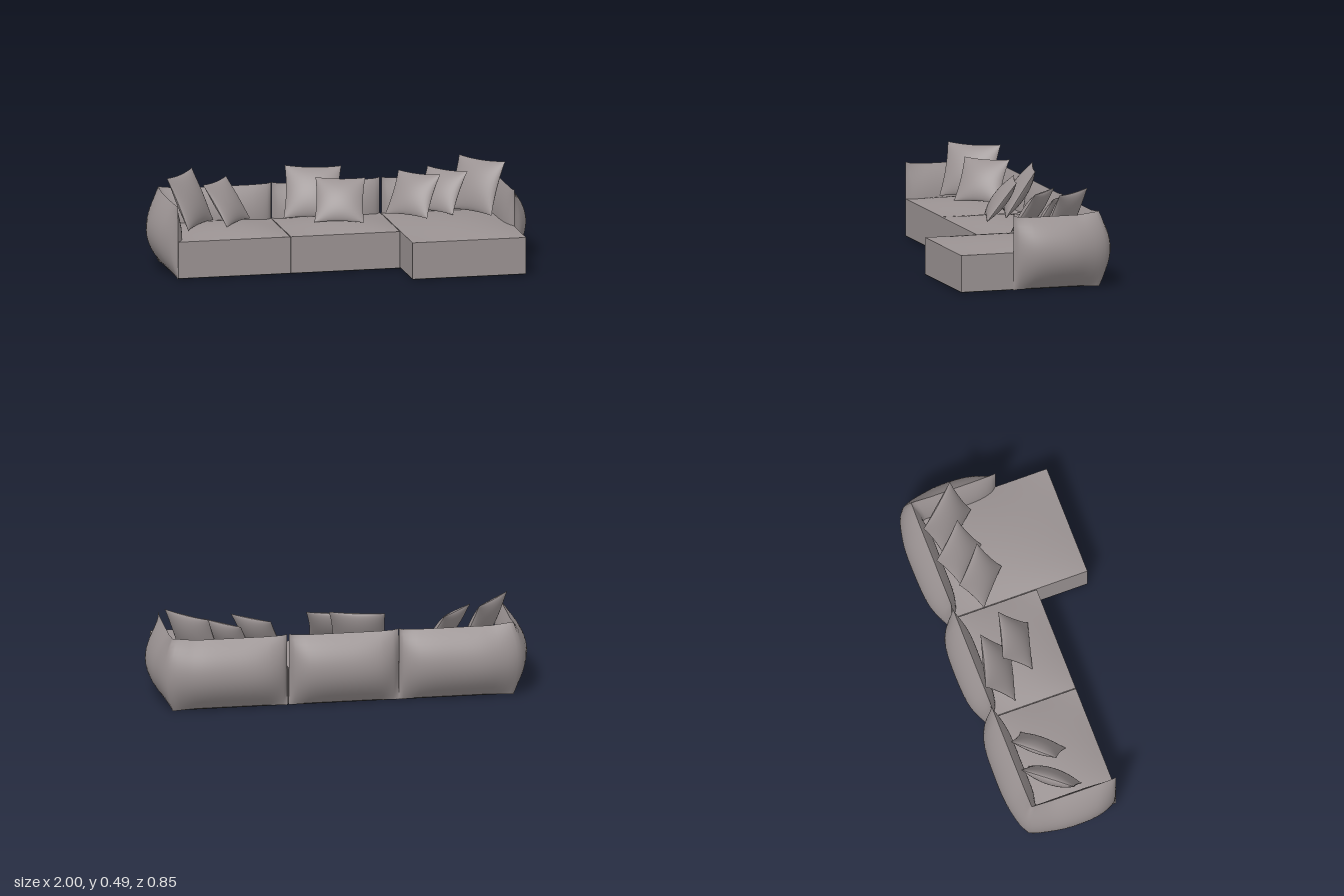
import * as THREE from 'three';

const fabric = new THREE.MeshStandardMaterial({ color: 0x9a9292, side: THREE.DoubleSide });
fabric.name = 'warm grey fabric';
const lining = new THREE.MeshStandardMaterial({ color: 0x303030 });
lining.name = 'dark underside lining';

// Grid surface from a rule p(u, v) with u and v in 0..1
function surface(p, nu, nv) {
  const pos = [], idx = [];
  for (let j = 0; j <= nv; j++)
    for (let i = 0; i <= nu; i++) pos.push(...p(i / nu, j / nv));
  for (let j = 0; j < nv; j++)
    for (let i = 0; i < nu; i++) {
      const a = j * (nu + 1) + i, b = a + 1, c = a + nu + 1, d = c + 1;
      idx.push(a, b, d, a, d, c);
    }
  const g = new THREE.BufferGeometry();
  g.setAttribute('position', new THREE.Float32BufferAttribute(pos, 3));
  g.setIndex(idx);
  g.computeVertexNormals();
  return g;
}

function addMesh(parent, geometry, material, name) {
  const m = new THREE.Mesh(geometry, material);
  m.name = name;
  parent.add(m);
  return m;
}

// Padded wall: rows of [baseX, baseZ, outerX, outerZ, innerX, innerZ, cornerLift]
function paddedWall(rows, side, name) {
  const group = new THREE.Group();
  group.name = name;
  const n = rows.length - 1;
  [[2, 'OuterFace'], [4, 'InnerFace']].forEach(([k, label]) => {
    const curve = new THREE.CatmullRomCurve3(rows.map(r => new THREE.Vector3(r[k], 0, r[k + 1])));
    const rule = (u, v) => {
      const i = Math.min(Math.floor(u * n + 1e-6), n - 1), f = u * n - i;
      const mix = c => rows[i][c] * (1 - f) + rows[i + 1][c] * f;
      const o = curve.getPoint(u), w = 1 - (2 * v - 1) ** 2;
      const bx = mix(0), bz = mix(1), lift = mix(6);
      const bottom = 0.008 * (1 - lift), top = 0.383 + 0.014 * lift;
      return [side * (bx + (o.x - bx) * w), bottom + (top - bottom) * v, bz + (o.z - bz) * w];
    };
    // keep the outward side in front on both mirrored walls
    const flip = (k === 2) === (side > 0);
    addMesh(group, surface((u, v) => rule(flip ? 1 - u : u, v), n * 5, 16), fabric, name + label);
  });
  return group;
}

// Seat block with a softly crowned top, and its lining
function seat(x0, x1, z0, z1, name) {
  const group = new THREE.Group();
  group.name = name;
  const w = x1 - x0, d = z1 - z0, h = 0.192;
  const g = new THREE.BoxGeometry(w, h, d, 16, 1, 16);
  const p = g.attributes.position;
  for (let i = 0; i < p.count; i++) {
    if (p.getY(i) < 0) continue;
    const u = p.getX(i) / w * 2, v = p.getZ(i) / d * 2;
    p.setY(i, h / 2 + 0.034 * (1 - u * u) * (1 - v * v));
  }
  g.computeVertexNormals();
  addMesh(group, g, fabric, name + 'Cushion').position.set((x0 + x1) / 2, 0.008 + h / 2, (z0 + z1) / 2);
  addMesh(group, new THREE.BoxGeometry(w, 0.004, d), lining, name + 'Lining')
    .position.set((x0 + x1) / 2, 0.006, (z0 + z1) / 2);
  return group;
}

// Square pillow with thin edges and pointed corners
function pillow(size, thickness) {
  const group = new THREE.Group(), r = size / 2;
  for (const s of [1, -1]) {
    const g = surface((a, b) => {
      // sine spacing keeps the thin rim smooth
      const u = Math.sin((a - 0.5) * Math.PI) * s, v = Math.sin((b - 0.5) * Math.PI);
      const x = r * u * (1 - 0.07 * (1 - v * v)), y = r * v * (1 - 0.07 * (1 - u * u));
      return [x, y, s * thickness / 2 * Math.pow(Math.max(0, (1 - u * u) * (1 - v * v)), 0.6)];
    }, 18, 18);
    addMesh(group, g, fabric, s > 0 ? 'pillowFront' : 'pillowBack');
  }
  return group;
}

export function createModel() {
  const model = new THREE.Group();
  model.name = 'sectionalSofa';

  // Seats, the left one extended as a chaise
  model.add(seat(-0.897, -0.299, -0.33, 0.14, 'rightSeat'));
  model.add(seat(-0.295, 0.287, -0.33, 0.14, 'middleSeat'));
  model.add(seat(0.291, 0.897, -0.33, 0.424, 'chaiseSeat'));

  // Back and arm in one wrapped corner wall, mirrored
  const corner = [
    [0.295, -0.33, 0.295, -0.33, 0.295, -0.33, 0.6],
    [0.32, -0.33, 0.315, -0.37, 0.32, -0.30, 0.2],
    [0.40, -0.33, 0.40, -0.412, 0.40, -0.275, 0],
    [0.60, -0.33, 0.60, -0.428, 0.60, -0.27, 0],
    [0.78, -0.33, 0.80, -0.418, 0.76, -0.27, 0],
    [0.90, -0.33, 0.935, -0.37, 0.85, -0.28, 1],
    [0.90, -0.22, 0.987, -0.23, 0.85, -0.20, 0],
    [0.90, -0.10, 1.0, -0.10, 0.85, -0.10, 0],
    [0.90, 0.04, 0.985, 0.03, 0.855, 0.04, 0],
    [0.90, 0.11, 0.94, 0.115, 0.875, 0.11, 0.3],
    [0.90, 0.14, 0.90, 0.14, 0.90, 0.14, 0.9],
  ];
  model.add(paddedWall(corner, 1, 'leftBackAndArm'));
  model.add(paddedWall(corner, -1, 'rightBackAndArm'));

  // Middle back
  const middle = [
    [-1, 0, 0, 0.6], [-0.9, 0.042, 0.03, 0.2], [-0.65, 0.08, 0.055, 0], [0, 0.095, 0.06, 0],
    [0.65, 0.08, 0.055, 0], [0.9, 0.042, 0.03, 0.2], [1, 0, 0, 0.6],
  ].map(([t, o, i, lift]) => {
    const x = -0.004 + 0.289 * t;
    return [x, -0.33, x, -0.33 - o, x, -0.33 + i, lift];
  });
  model.add(paddedWall(middle, 1, 'middleBack'));

  // Throw pillows: x, y, z, size, turn, backward lean (degrees)
  [
    [-0.765, 0.357, -0.17, 0.295, 51, 25],
    [-0.57, 0.335, -0.17, 0.255, 49, 34],
    [-0.10, 0.353, -0.22, 0.295, -15, 32],
    [0.015, 0.335, -0.08, 0.26, -15, 37],
    [0.415, 0.337, -0.125, 0.25, -42, 34],
    [0.575, 0.337, -0.185, 0.25, -46, 34],
    [0.762, 0.357, -0.18, 0.295, -48, 25],
  ].forEach(([x, y, z, size, turn, lean], i) => {
    const p = pillow(size, size * 0.3);
    p.name = 'throwPillow' + (i + 1);
    p.position.set(x, y, z);
    p.rotation.set(-lean * Math.PI / 180, turn * Math.PI / 180, 0, 'YXZ');
    model.add(p);
  });

  return model;
}
